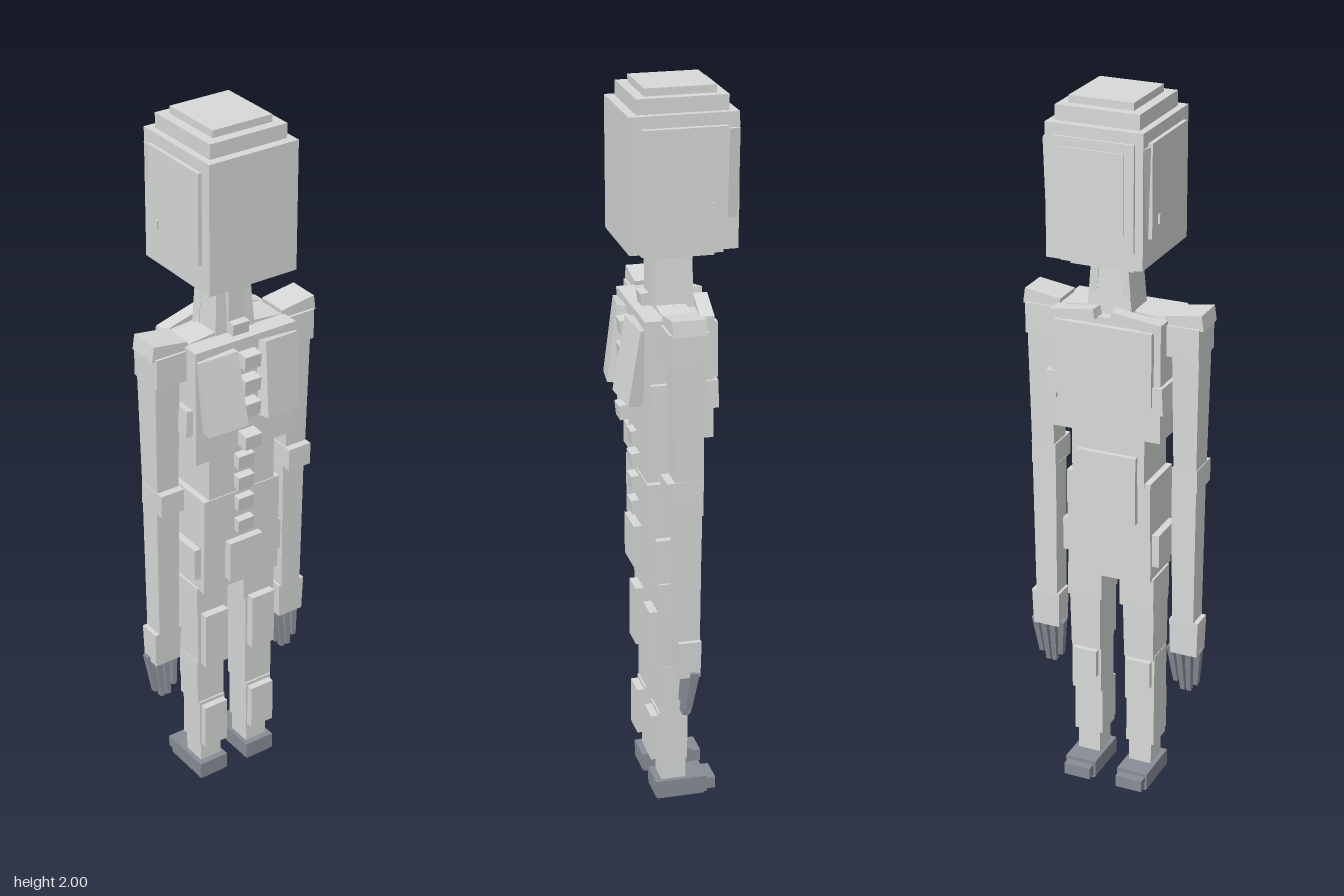
import * as THREE from 'three';

export function createModel() {
  const root = new THREE.Group();
  root.name = 'blockFigure';
  const body = new THREE.MeshStandardMaterial({ color: 0xd7dad8, flatShading: true });
  body.name = 'pale grey';
  const dark = new THREE.MeshStandardMaterial({ color: 0x888c95, flatShading: true });
  dark.name = 'slate grey';

  // Box from its limits; taper scales the bottom end, rot turns it about its centre
  function block(parent, name, [x0, x1], [y0, y1], [z0, z1], { mat = body, taper = 1, rot = [0, 0, 0] } = {}) {
    const geo = new THREE.BoxGeometry(x1 - x0, y1 - y0, z1 - z0);
    const p = geo.attributes.position;
    for (let i = 0; i < p.count; i++) {
      if (p.getY(i) < 0) {
        p.setX(i, p.getX(i) * taper);
        p.setZ(i, p.getZ(i) * taper);
      }
    }
    geo.computeVertexNormals();
    const mesh = new THREE.Mesh(geo, mat);
    mesh.name = name;
    mesh.position.set((x0 + x1) / 2, (y0 + y1) / 2, (z0 + z1) / 2);
    mesh.rotation.set(...rot);
    parent.add(mesh);
  }
  // The same block on both sides
  function pair(parent, name, x, y, z, opt = {}) {
    const [rx, ry, rz] = opt.rot || [0, 0, 0];
    block(parent, name + 'Left', x, y, z, opt);
    block(parent, name + 'Right', [-x[1], -x[0]], y, z, { ...opt, rot: [rx, -ry, -rz] });
  }
  function group(name) {
    const g = new THREE.Group();
    g.name = name;
    root.add(g);
    return g;
  }

  // Head: stepped cube with thin panels
  const head = group('head');
  block(head, 'skull', [-0.136, 0.131], [1.585, 1.94], [-0.15, 0.136]);
  block(head, 'crownLower', [-0.117, 0.113], [1.94, 1.98], [-0.128, 0.112]);
  block(head, 'crownUpper', [-0.09, 0.087], [1.98, 2.0], [-0.102, 0.085]);
  block(head, 'jawUpper', [-0.112, 0.106], [1.57, 1.585], [-0.118, 0.098]);
  block(head, 'jawLower', [-0.09, 0.086], [1.558, 1.57], [-0.1, 0.075]);
  block(head, 'facePlate', [-0.114, 0.11], [1.63, 1.91], [-0.157, -0.15]);
  block(head, 'faceInset', [-0.087, 0.083], [1.675, 1.885], [-0.162, -0.157]);
  pair(head, 'sidePlate', [0.13, 0.147], [1.66, 1.908], [-0.117, 0.104]);
  pair(head, 'cheekStrip', [0.127, 0.137], [1.67, 1.9], [-0.149, -0.118], { rot: [0, 0.25, -0.03] });
  pair(head, 'earTab', [0.14, 0.152], [1.69, 1.715], [-0.08, -0.073]);

  // Neck
  const neck = group('neck');
  block(neck, 'neckColumn', [-0.052, 0.052], [1.38, 1.56], [-0.045, 0.045], { taper: 1.22 });
  block(neck, 'neckCord', [-0.025, 0.025], [1.4, 1.56], [0.03, 0.06]);
  pair(neck, 'neckMuscle', [0.035, 0.058], [1.4, 1.56], [-0.05, -0.02], { rot: [0, 0, 0.08] });

  // Torso
  const torso = group('torso');
  block(torso, 'ribcage', [-0.157, 0.157], [1.085, 1.415], [-0.08, 0.103]);
  block(torso, 'chestPlate', [-0.138, 0.138], [1.19, 1.395], [-0.096, -0.078]);
  pair(torso, 'flank', [0.14, 0.172], [1.17, 1.245], [-0.09, 0.09], { rot: [0, 0.05, 0.05] });
  pair(torso, 'collarbone', [0.02, 0.15], [1.4, 1.428], [-0.09, -0.052], { rot: [0, -0.12, -0.18] });
  pair(torso, 'shoulderSlope', [0.04, 0.17], [1.39, 1.42], [-0.03, 0.05], { rot: [0, 0, -0.1] });
  pair(torso, 'shoulderBlade', [0.034, 0.147], [1.185, 1.395], [0.1, 0.137], { rot: [-0.14, 0.15, -0.06] });
  block(torso, 'waist', [-0.105, 0.105], [0.94, 1.09], [-0.062, 0.085]);
  block(torso, 'abdomen', [-0.122, 0.122], [0.78, 0.95], [-0.06, 0.088]);
  block(torso, 'bellyPlate', [-0.085, 0.085], [0.83, 1.025], [-0.075, -0.055]);

  // Spine bumps
  for (const [y, z] of [[1.43, 0.08], [1.36, 0.135], [1.29, 0.135], [1.22, 0.135], [1.125, 0.14],
    [1.05, 0.108], [0.985, 0.108], [0.92, 0.108], [0.85, 0.108]]) {
    block(torso, 'vertebra', [-0.025, 0.025], [y - 0.02, y + 0.02], [z - 0.045, z], { rot: [0.1, 0, 0] });
  }

  // Pelvis
  const pelvis = group('pelvis');
  block(pelvis, 'hips', [-0.122, 0.122], [0.655, 0.8], [-0.056, 0.085]);
  block(pelvis, 'pelvisBase', [-0.1, 0.1], [0.64, 0.66], [-0.045, 0.065]);
  block(pelvis, 'sacrum', [-0.053, 0.053], [0.685, 0.805], [0.08, 0.11]);
  pair(pelvis, 'hipPad', [0.11, 0.142], [0.7, 0.795], [-0.045, 0.07]);

  // Arms
  const arms = group('arms');
  pair(arms, 'shoulderCap', [0.15, 0.254], [1.393, 1.435], [-0.035, 0.055], { rot: [0, 0, 0.14] });
  pair(arms, 'shoulder', [0.15, 0.247], [1.32, 1.405], [-0.043, 0.062]);
  pair(arms, 'upperArm', [0.17, 0.245], [1.0, 1.33], [-0.035, 0.05], { taper: 0.87 });
  pair(arms, 'elbow', [0.171, 0.242], [0.935, 1.0], [-0.028, 0.066]);
  pair(arms, 'forearm', [0.17, 0.24], [0.53, 0.94], [-0.028, 0.04], { taper: 0.9 });
  pair(arms, 'wrist', [0.166, 0.25], [0.435, 0.54], [-0.026, 0.036], { taper: 0.93 });

  // Four slim fingers, the inner two longest
  const hands = group('hands');
  for (let i = 0; i < 4; i++) {
    const t = (i - 1.5) / 1.5;
    const x = 0.206 + t * 0.035;
    const low = 0.298 + Math.abs(t) * 0.035;
    pair(hands, 'finger', [x - 0.009, x + 0.009], [low, 0.45], [-0.012, 0.012],
      { mat: dark, taper: 0.75, rot: [-0.14, 0, -0.1 * t] });
  }

  // Legs
  const legs = group('legs');
  pair(legs, 'upperThigh', [0.027, 0.128], [0.565, 0.66], [-0.048, 0.06]);
  pair(legs, 'lowerThigh', [0.034, 0.126], [0.4, 0.575], [-0.04, 0.06], { taper: 0.94 });
  pair(legs, 'hamstring', [0.041, 0.115], [0.405, 0.575], [0.05, 0.083]);
  pair(legs, 'knee', [0.037, 0.125], [0.26, 0.41], [-0.03, 0.055]);
  pair(legs, 'kneecap', [0.045, 0.117], [0.315, 0.395], [-0.045, -0.025]);
  pair(legs, 'shin', [0.037, 0.121], [0.12, 0.27], [-0.022, 0.06]);
  pair(legs, 'calf', [0.042, 0.116], [0.125, 0.26], [0.045, 0.08]);
  pair(legs, 'ankle', [0.045, 0.112], [0.05, 0.125], [-0.02, 0.05]);

  // Feet, toes towards -z
  const feet = group('feet');
  pair(feet, 'shoe', [0.034, 0.125], [0.008, 0.056], [-0.078, 0.068], { mat: dark });
  pair(feet, 'sole', [0.04, 0.119], [0, 0.01], [-0.072, 0.062], { mat: dark });
  pair(feet, 'toe', [0.04, 0.119], [0.012, 0.046], [-0.104, -0.076], { mat: dark });

  return root;
}
